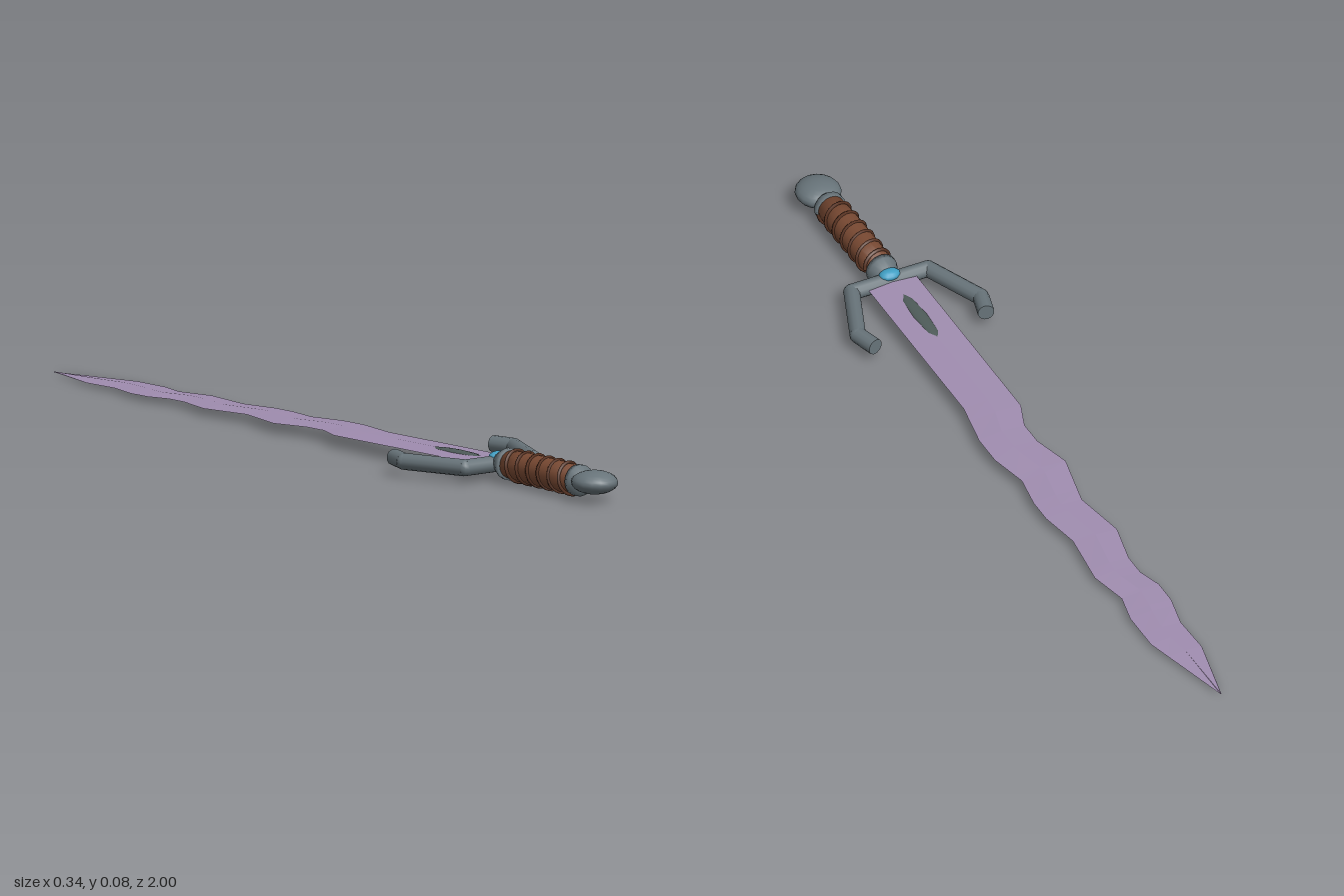
import * as THREE from 'three';

const material = (name, color, extra = {}) => {
  const m = new THREE.MeshStandardMaterial({ color, ...extra });
  m.name = name;
  return m;
};

export function createModel() {
  const steel = material('grey steel', 0x68747a);
  const darkSteel = material('dark steel', 0x4f5c5a);
  const bladeMat = material('violet blade', 0xa08db0);
  const leather = material('brown leather', 0x7a4a33);
  const cordMat = material('dark brown cord', 0x5a3423);
  const gemMat = material('blue gem', 0x3f9fc4);

  const sword = new THREE.Group();
  sword.name = 'sword';
  const add = (name, geometry, mat, x = 0, y = 0, z = 0) => {
    const mesh = new THREE.Mesh(geometry, mat);
    mesh.name = name;
    mesh.position.set(x, y, z);
    sword.add(mesh);
    return mesh;
  };

  // Wavy blade: flat diamond sections, dropping slightly towards the tip
  const bladeY = z => 0.028 + 0.022 * z;
  const left = [[0.6, -0.057], [0.085, -0.057], [0.02, -0.033], [-0.04, -0.033], [-0.13, -0.057],
    [-0.265, -0.028], [-0.39, -0.05], [-0.49, -0.028], [-0.545, -0.028], [-0.6, -0.045],
    [-0.66, -0.045], [-0.74, -0.028], [-0.835, -0.031], [-1, 0.005]];
  const right = [[0.6, 0.06], [0.13, 0.06], [0.015, 0.08], [-0.06, 0.08], [-0.15, 0.06],
    [-0.23, 0.072], [-0.29, 0.072], [-0.385, 0.055], [-0.52, 0.07], [-0.61, 0.05],
    [-0.68, 0.065], [-0.78, 0.065], [-1, 0.007]];
  const edgeAt = (edge, z) => {
    const i = Math.max(1, edge.findIndex(p => p[0] <= z));
    const [z0, x0] = edge[i - 1], [z1, x1] = edge[i];
    return x0 + (x1 - x0) * (z0 - z) / (z0 - z1);
  };
  const stations = [...new Set([...left, ...right].map(p => p[0]))].sort((a, b) => b - a);
  const pos = [], idx = [];
  stations.forEach((z, i) => {
    const l = edgeAt(left, z), r = edgeAt(right, z), y = bladeY(z);
    const mid = (l + r) / 2, t = z < -0.99 ? 0.001 : 0.004;
    pos.push(l, y, z, mid, y + t, z, r, y, z, mid, y - t, z);
    if (i) {
      for (let k = 0; k < 4; k++) {
        const a = (i - 1) * 4 + k, b = (i - 1) * 4 + (k + 1) % 4;
        idx.push(a, b, b + 4, a, b + 4, a + 4);
      }
    }
  });
  const end = (stations.length - 1) * 4;
  idx.push(0, 3, 2, 0, 2, 1, end, end + 1, end + 2, end, end + 2, end + 3);
  let bladeGeo = new THREE.BufferGeometry();
  bladeGeo.setAttribute('position', new THREE.Float32BufferAttribute(pos, 3));
  bladeGeo.setIndex(idx);
  bladeGeo = bladeGeo.toNonIndexed();
  bladeGeo.computeVertexNormals();
  add('blade', bladeGeo, bladeMat);

  // Slender dark inlay near the guard, showing on both faces
  const inlay = new THREE.SphereGeometry(1, 8, 8);
  inlay.scale(0.017, 0.008, 0.097);
  add('bladeInlay', inlay, darkSteel, 0, bladeY(0.455), 0.455).rotation.x = -0.022;

  // Crossguard: round bars joined by balls at the bends
  const guardY = 0.037, r = 0.0185;
  const bar = (name, a, b) => {
    const d = b.clone().sub(a);
    const mesh = add(name, new THREE.CylinderGeometry(r, r, d.length(), 12), steel);
    mesh.position.copy(a).addScaledVector(d, 0.5);
    mesh.quaternion.setFromUnitVectors(new THREE.Vector3(0, 1, 0), d.normalize());
  };
  const guardPoint = (x, z) => new THREE.Vector3(x, guardY, z);
  bar('guardBar', guardPoint(-0.093, 0.602), guardPoint(0.093, 0.602));
  for (const [side, s] of [['left', 1], ['right', -1]]) {
    const p = [guardPoint(s * 0.093, 0.602), guardPoint(s * 0.15, 0.46), guardPoint(s * 0.135, 0.405)];
    bar(side + 'GuardArm', p[0], p[1]);
    bar(side + 'GuardTip', p[1], p[2]);
    for (const q of p.slice(0, 2)) {
      add(side + 'GuardJoint', new THREE.SphereGeometry(r, 12, 8), steel, q.x, q.y, q.z);
    }
  }

  // Gem on the guard
  const gem = new THREE.SphereGeometry(1, 12, 8);
  gem.scale(0.025, 0.012, 0.018);
  add('gem', gem, gemMat, 0, 0.053, 0.603);

  // Grip with collars; profile runs along z
  const gripY = 0.041;
  const turned = (name, profile, mat, segments = 16) => {
    const geo = new THREE.LatheGeometry(profile.map(p => new THREE.Vector2(p[0], p[1])), segments);
    geo.rotateX(Math.PI / 2);
    add(name, geo, mat, 0, gripY, 0);
  };
  turned('grip', [[0, 0.645], [0.031, 0.645], [0.034, 0.7], [0.034, 0.82], [0.031, 0.89], [0, 0.89]], leather);
  turned('frontCollar', [[0, 0.612], [0.024, 0.612], [0.035, 0.634], [0.036, 0.646], [0, 0.646]], steel);
  turned('rearCollar', [[0, 0.884], [0.035, 0.884], [0.035, 0.897], [0.022, 0.912], [0, 0.912]], steel);

  // Cord wound along the grip
  const turns = 6, cordPoints = [];
  for (let i = 0; i <= turns * 12; i++) {
    const a = i * Math.PI / 6;
    cordPoints.push(new THREE.Vector3(0.0345 * Math.cos(a), 0.0345 * Math.sin(a), 0.655 + 0.225 * i / (turns * 12)));
  }
  const cordPath = new THREE.CatmullRomCurve3(cordPoints);
  add('gripCord', new THREE.TubeGeometry(cordPath, turns * 24, 0.004, 5), cordMat, 0, gripY, 0);

  // Flattened pommel
  const pommel = new THREE.SphereGeometry(1, 16, 12);
  pommel.scale(0.051, 0.026, 0.053);
  add('pommel', pommel, steel, 0, 0.045, 0.946);

  return sword;
}
